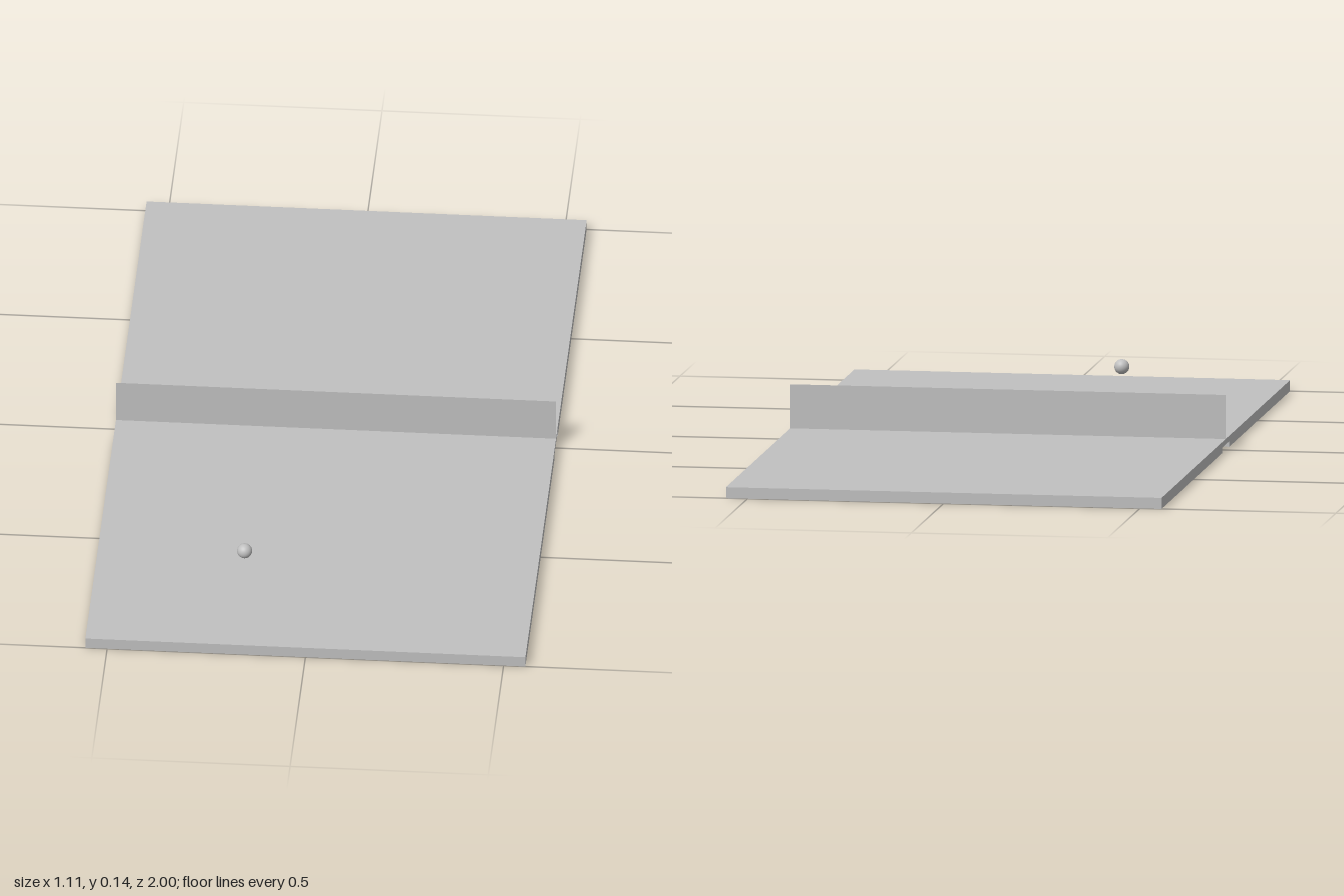
import * as THREE from 'three';

const WIDTH = 1.11;      // across x
const TOP = 0.028;       // playing surface height
const NET_TOP = 0.14;
const GROOVE = 0.055;    // half width of the channel under the net
const GROOVE_TOP = 0.014;

export function createModel() {
  const group = new THREE.Group();
  const grey = new THREE.MeshStandardMaterial({ color: 0xc0c0c0 });
  grey.name = 'plain grey';
  grey.side = THREE.DoubleSide;

  const add = (name, geometry, x, y, z) => {
    const mesh = new THREE.Mesh(geometry, grey);
    mesh.name = name;
    mesh.position.set(x, y, z);
    group.add(mesh);
  };

  // Table slab: side profile with a channel underneath, extruded across x
  const profile = new THREE.Shape([
    [-1, 0], [-GROOVE, 0], [-GROOVE, GROOVE_TOP], [GROOVE, GROOVE_TOP],
    [GROOVE, 0], [1, 0], [1, TOP], [-1, TOP],
  ].map(([z, y]) => new THREE.Vector2(z, y)));
  const slab = new THREE.ExtrudeGeometry(profile, { depth: WIDTH, bevelEnabled: false });
  slab.translate(0, 0, -WIDTH / 2).rotateY(Math.PI / 2);
  add('tableTop', slab, 0, 0, 0);

  // Net: a thin upright sheet across the middle
  add('net', new THREE.PlaneGeometry(WIDTH, NET_TOP - TOP), 0, (NET_TOP + TOP) / 2, 0);

  // Ball in flight over the front half
  add('ball', new THREE.SphereGeometry(0.019, 32, 20), -0.178, 0.101, 0.68);

  return group;
}
